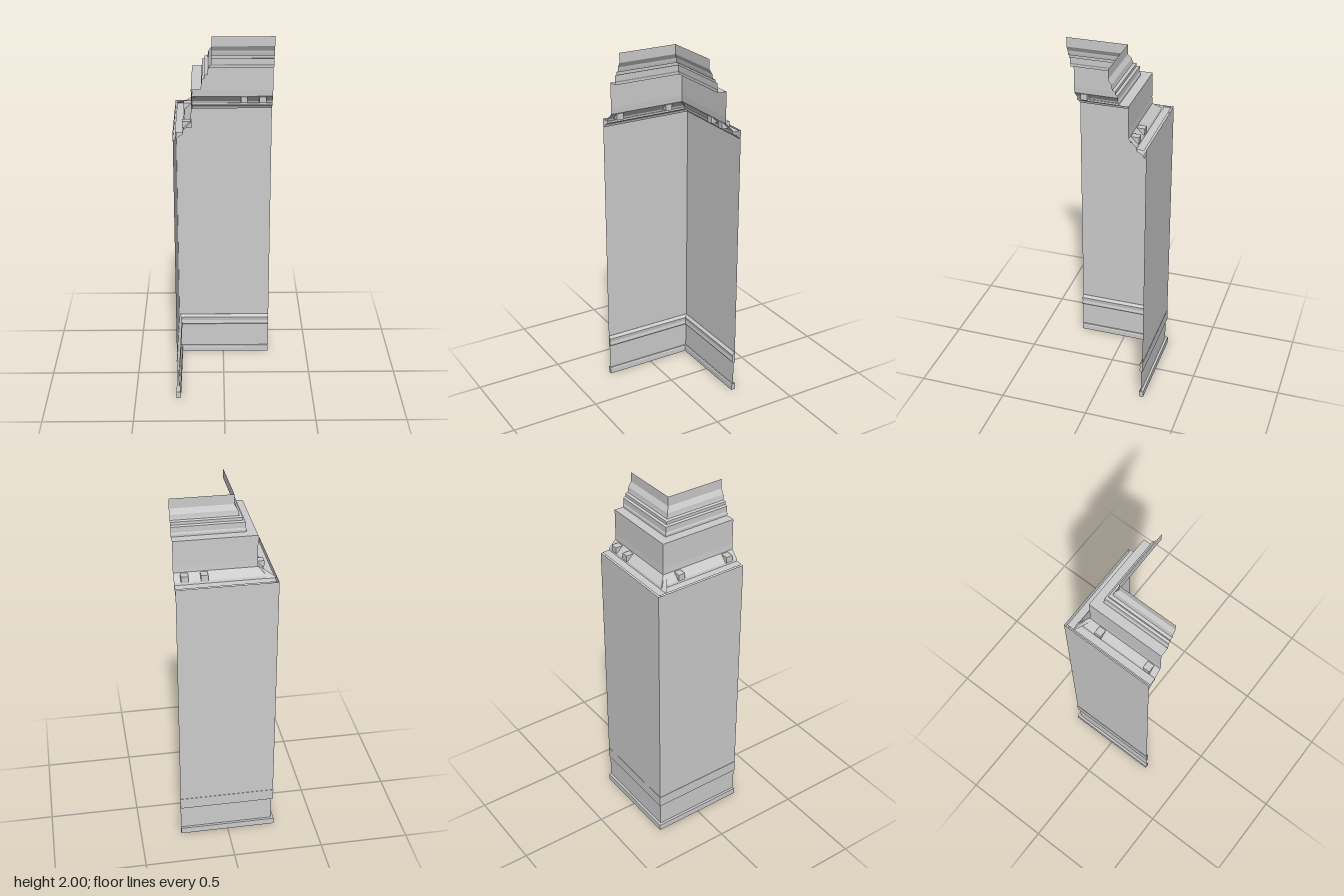
import * as THREE from 'three';

const END = 0.27;
const mat = new THREE.MeshStandardMaterial({ color: 0xcccccc, flatShading: true, side: THREE.DoubleSide });

function meshFrom(pos, name) {
  const geo = new THREE.BufferGeometry();
  geo.setAttribute('position', new THREE.Float32BufferAttribute(pos, 3));
  geo.computeVertexNormals();
  const mesh = new THREE.Mesh(geo, mat);
  mesh.name = name;
  return mesh;
}

// Sweep a profile of [offset, height] points round the mitred L corner.
function sweep(name, profile, closed = false) {
  const pos = [];
  const quad = (a, b, c, d) => pos.push(...a, ...b, ...c, ...a, ...c, ...d);
  const left = ([d, y]) => [d, y, END];
  const corner = ([d, y]) => [d, y, d];
  const back = ([d, y]) => [END, y, d];
  const n = profile.length;
  for (let i = 0; i < (closed ? n : n - 1); i++) {
    const p = profile[i], q = profile[(i + 1) % n];
    quad(left(p), corner(p), corner(q), left(q));
    quad(corner(p), back(p), back(q), corner(q));
  }
  // Cap both ends of solid mouldings
  if (closed) {
    const pts = profile.map(([d, y]) => new THREE.Vector2(d, y));
    for (const [a, b, c] of THREE.ShapeUtils.triangulateShape(pts, [])) {
      pos.push(...left(profile[a]), ...left(profile[b]), ...left(profile[c]));
      pos.push(...back(profile[a]), ...back(profile[c]), ...back(profile[b]));
    }
  }
  return meshFrom(pos, name);
}

function box(name, x0, x1, y0, y1, z0, z1) {
  const mesh = new THREE.Mesh(new THREE.BoxGeometry(x1 - x0, y1 - y0, z1 - z0), mat);
  mesh.position.set((x0 + x1) / 2, (y0 + y1) / 2, (z0 + z1) / 2);
  mesh.name = name;
  return mesh;
}

export function createModel() {
  const group = new THREE.Group();
  group.name = 'cornerWall';

  // Wall panels and skirting
  group.add(sweep('wallPanel', [[-0.263, 0.24], [-0.263, 1.59]]));
  group.add(sweep('skirtingBoard', [[-0.256, 0.03], [-0.256, 0.19]]));
  group.add(sweep('basePlinth', [
    [-0.27, 0], [-0.245, 0], [-0.245, 0.03], [-0.249, 0.037], [-0.27, 0.037],
  ], true));
  group.add(sweep('skirtingMoulding', [
    [-0.265, 0.18], [-0.252, 0.18], [-0.246, 0.19], [-0.25, 0.21],
    [-0.247, 0.232], [-0.262, 0.246], [-0.265, 0.246],
  ], true));

  // Picture rail: a shallow ledge under the frieze
  group.add(sweep('pictureRail', [
    [-0.263, 1.545], [-0.252, 1.545], [-0.248, 1.556], [-0.22, 1.575],
    [-0.212, 1.577], [-0.212, 1.588], [-0.252, 1.588],
  ]));

  // Cove rising to the frieze
  group.add(sweep('cove', [[-0.252, 1.588], [-0.212, 1.59], [-0.208, 1.602], [-0.17, 1.64]]));

  // Frieze and stepped cornice
  group.add(sweep('frieze', [[-0.17, 1.64], [-0.168, 1.677], [-0.168, 1.815]]));
  group.add(sweep('cornice', [
    [-0.168, 1.815], [-0.117, 1.815], [-0.117, 1.828], [-0.113, 1.836],
    [-0.113, 1.867], [-0.1, 1.872], [-0.1, 1.888], [-0.085, 1.892],
    [-0.082, 1.905], [-0.08, 1.92], [-0.063, 1.947], [-0.063, 2],
  ]));

  // Small brackets under the frieze on both walls
  for (const [a, b] of [[-0.105, -0.067], [0.196, 0.235]]) {
    group.add(box('leftBracket', -0.215, -0.168, 1.602, 1.637, a, b));
  }
  for (const [a, b] of [[0.095, 0.132], [0.196, 0.235]]) {
    group.add(box('backBracket', a, b, 1.602, 1.637, -0.215, -0.168));
  }

  // Slanted brace in the corner of the cove
  const a = [-0.262, 1.59, -0.21], b = [-0.21, 1.59, -0.215];
  const c = [-0.15, 1.638, -0.168], d = [-0.168, 1.638, -0.148];
  group.add(meshFrom([...a, ...b, ...c, ...a, ...c, ...d], 'cornerBrace'));

  return group;
}
